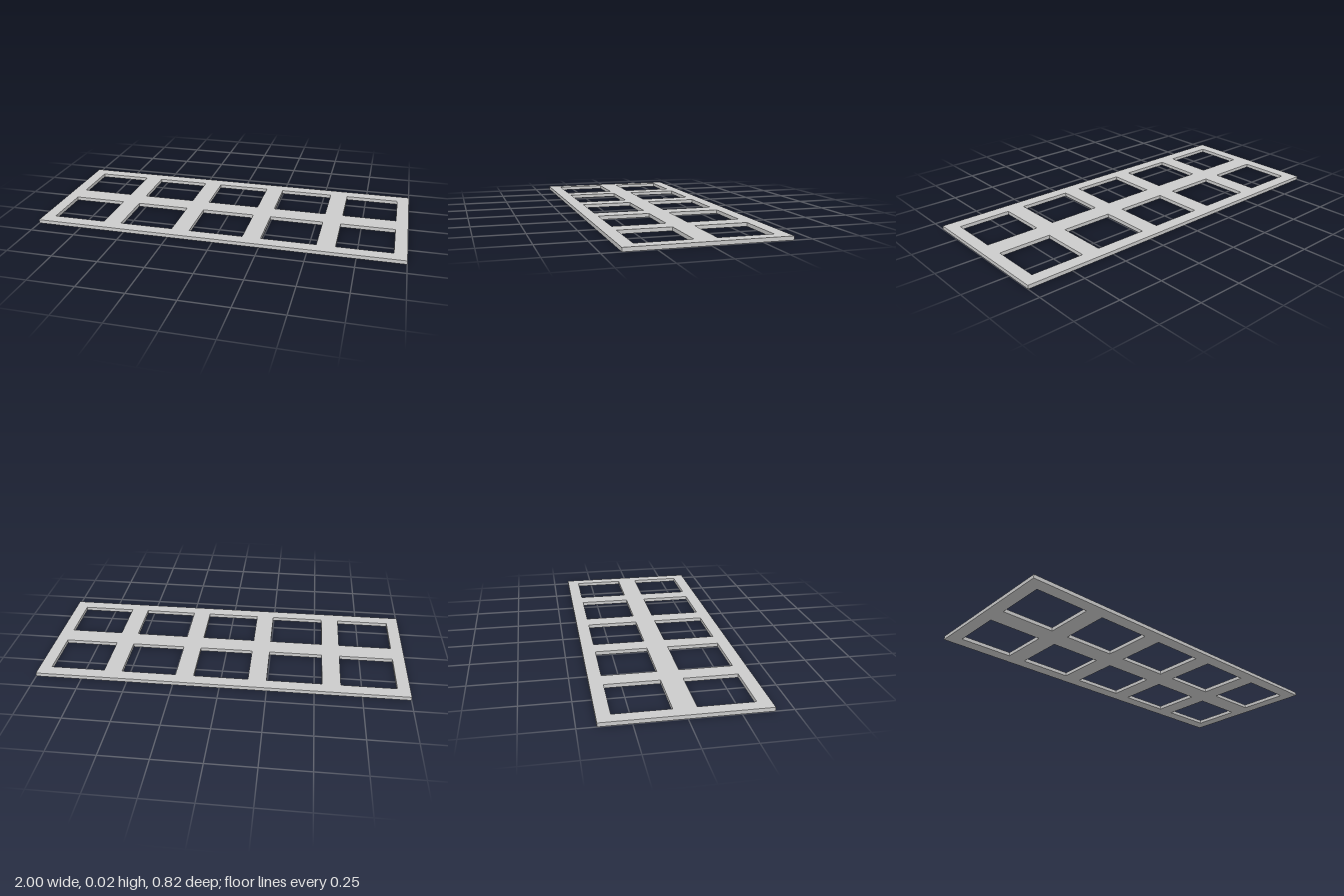
import * as THREE from 'three';

const WIDTH = 2, DEPTH = 0.816, THICKNESS = 0.02;
const COLUMNS = 5, ROWS = 2;
const HOLE_W = 0.294, HOLE_D = 0.282;
const PITCH_X = 0.393, PITCH_Z = 0.396;

// Traces a centred rectangle on a Shape or Path
function rectangle(path, cx, cy, w, h) {
  path.moveTo(cx - w / 2, cy - h / 2);
  path.lineTo(cx + w / 2, cy - h / 2);
  path.lineTo(cx + w / 2, cy + h / 2);
  path.lineTo(cx - w / 2, cy + h / 2);
  path.closePath();
  return path;
}

export function createModel() {
  const group = new THREE.Group();
  group.name = 'windowGrid';

  // Flat plate outline
  const outline = rectangle(new THREE.Shape(), 0, 0, WIDTH, DEPTH);

  // Grid of rectangular openings
  for (let row = 0; row < ROWS; row++) {
    for (let col = 0; col < COLUMNS; col++) {
      const x = (col - (COLUMNS - 1) / 2) * PITCH_X;
      const z = (row - (ROWS - 1) / 2) * PITCH_Z;
      outline.holes.push(rectangle(new THREE.Path(), x, z, HOLE_W, HOLE_D));
    }
  }

  // Extrude and lay the plate flat on the ground
  const geometry = new THREE.ExtrudeGeometry(outline, { depth: THICKNESS, bevelEnabled: false });
  geometry.rotateX(-Math.PI / 2);

  const frame = new THREE.Mesh(geometry, new THREE.MeshStandardMaterial({ color: 0xcccccc }));
  frame.name = 'frame';
  group.add(frame);
  return group;
}
